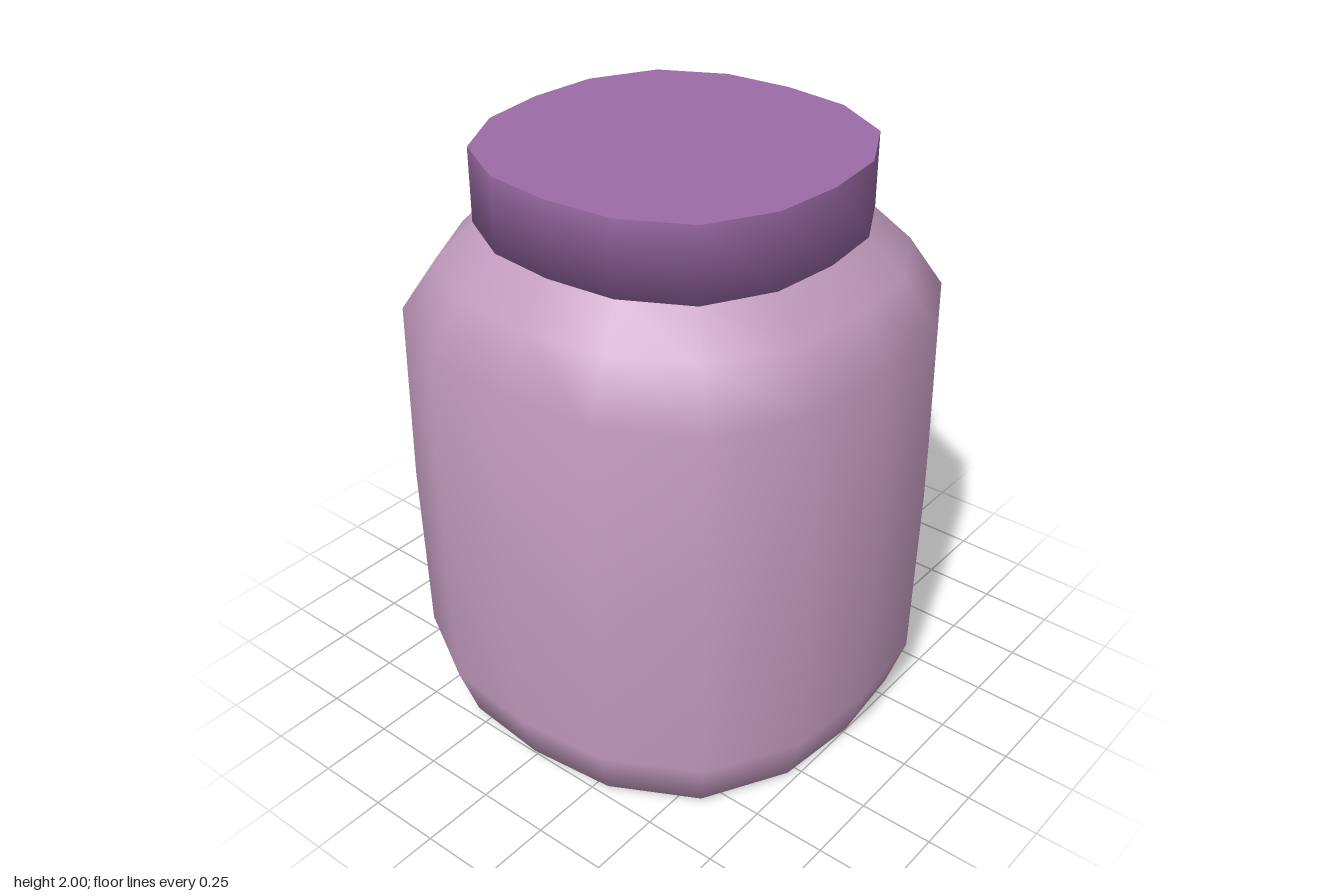
import * as THREE from 'three';
import { mergeVertices } from 'three/addons/utils/BufferGeometryUtils.js';

const SIDES = 16;

// Sixteen-sided turned shape, swelled towards the diagonals into a soft square.
function softSquareLathe(profile) {
  const points = profile.map(([r, y]) => new THREE.Vector2(r, y));
  const lathe = new THREE.LatheGeometry(points, SIDES);
  const pos = lathe.attributes.position;
  for (let i = 0; i < pos.count; i++) {
    const x = pos.getX(i), z = pos.getZ(i);
    const swell = 1 + 0.075 * Math.sin(2 * Math.atan2(z, x)) ** 2;
    pos.setXYZ(i, x * swell, pos.getY(i), z * swell);
  }
  lathe.deleteAttribute('uv');
  lathe.deleteAttribute('normal');
  const geometry = mergeVertices(lathe, 1e-4); // close the seam for smooth shading
  geometry.computeVertexNormals();
  return geometry;
}

export function createModel() {
  const model = new THREE.Group();
  model.name = 'jar';

  const bodyMaterial = new THREE.MeshStandardMaterial({ color: 0xc29bbe });
  bodyMaterial.name = 'pale mauve';
  const lidMaterial = new THREE.MeshStandardMaterial({ color: 0x9b6ba7 });
  lidMaterial.name = 'purple';

  const add = (name, profile, material) => {
    const mesh = new THREE.Mesh(softSquareLathe(profile), material);
    mesh.name = name;
    model.add(mesh);
  };

  // Body: base, slightly bulging wall and sloping shoulder
  add('body', [
    [0, 0], [0.58, 0.003], [0.76, 0.02], [0.82, 0.2], [0.83, 0.83],
    [0.82, 1.46], [0.71, 1.63], [0.59, 1.75],
  ], bodyMaterial);

  // Lid: rounded-looking rim with a crisp flat top
  add('lidRim', [[0, 1.75], [0.595, 1.75], [0.595, 2]], lidMaterial);
  add('lidTop', [[0.595, 2], [0, 2]], lidMaterial);

  return model;
}
